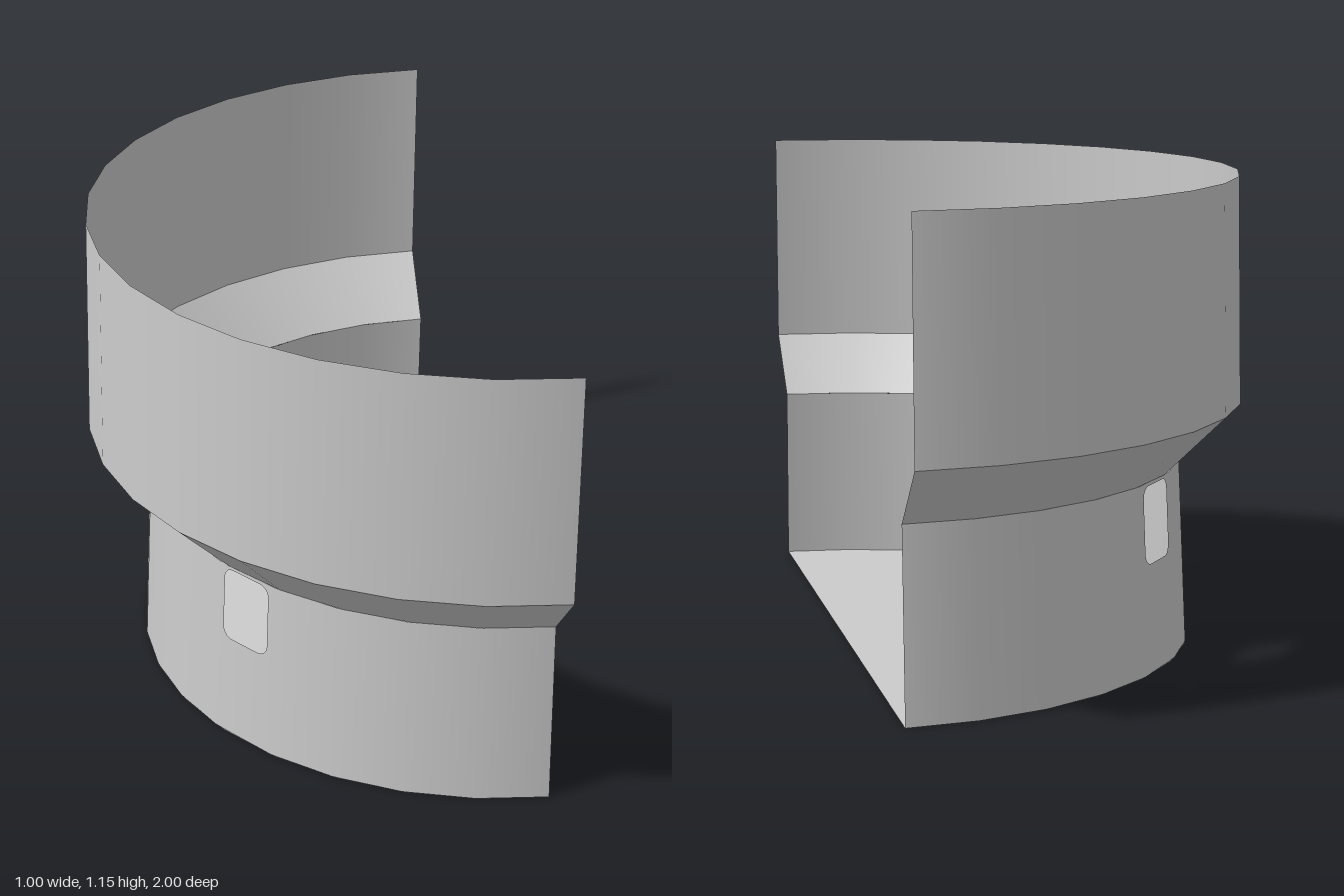
import * as THREE from 'three';
import { mergeGeometries } from 'three/addons/utils/BufferGeometryUtils.js';

const AXIS_X = 0.5; // the half-round shell is cut on the plane x = 0.5
const RAD = Math.PI / 180;
const ARC = 0.857; // mean radius of the lower wall, for flat layout

// Bends a flat sheet (x = arc length, y = height) around the axis as a cone
function bend(geometry, y0, r0, y1, r1) {
  const p = geometry.attributes.position;
  const n = geometry.attributes.normal;
  const slope = (r0 - r1) / (y1 - y0);
  const len = Math.hypot(1, slope);
  for (let i = 0; i < p.count; i++) {
    const a = p.getX(i) / ARC;
    const y = p.getY(i);
    const r = r0 + (r1 - r0) * (y - y0) / (y1 - y0);
    p.setXYZ(i, AXIS_X - r * Math.cos(a), y, r * Math.sin(a));
    n.setXYZ(i, -Math.cos(a) / len, slope / len, Math.sin(a) / len);
  }
  return geometry;
}

// Plain sheet between two angles (degrees) and two heights
function sheet(a0, a1, segments, y0, y1) {
  const u0 = a0 * RAD * ARC, u1 = a1 * RAD * ARC;
  const g = new THREE.PlaneGeometry(u1 - u0, y1 - y0, segments, 1);
  return g.translate((u0 + u1) / 2, (y0 + y1) / 2, 0);
}

// Sheet with a rounded rectangular window
function windowSheet(a0, a1, y0, y1) {
  const u0 = a0 * RAD * ARC, u1 = a1 * RAD * ARC;
  const shape = new THREE.Shape([[u0, y0], [u1, y0], [u1, y1], [u0, y1]].map(([x, y]) => new THREE.Vector2(x, y)));
  const c = (u0 + u1) / 2, h = 0.073, b = 0.262, t = 0.448, r = 0.028;
  const hole = new THREE.Path();
  hole.absarc(c - h + r, b + r, r, Math.PI, Math.PI * 1.5);
  hole.absarc(c + h - r, b + r, r, Math.PI * 1.5, Math.PI * 2);
  hole.absarc(c + h - r, t - r, r, 0, Math.PI / 2);
  hole.absarc(c - h + r, t - r, r, Math.PI / 2, Math.PI);
  hole.closePath();
  shape.holes.push(hole);
  return new THREE.ShapeGeometry(shape, 5);
}

export function createModel() {
  const group = new THREE.Group();
  const material = new THREE.MeshStandardMaterial({ color: 0xcccccc, side: THREE.DoubleSide });
  const add = (name, geometry) => {
    const mesh = new THREE.Mesh(geometry, material);
    mesh.name = name;
    group.add(mesh);
    return mesh;
  };

  // Upper band and the sloping shoulder under it
  add('upperWall', bend(sheet(-90, 90, 16, 0.602, 1.153), 0.602, 1.0, 1.153, 0.99));
  add('shoulder', bend(sheet(-90, 90, 16, 0.455, 0.602), 0.455, 0.85, 0.602, 1.0));

  // Lower wall with one window on each side
  const lower = mergeGeometries([
    sheet(-90, -44, 4, 0, 0.455),
    windowSheet(-44, -31.5, 0, 0.455),
    sheet(-31.5, 31.5, 6, 0, 0.455),
    windowSheet(31.5, 44, 0, 0.455),
    sheet(44, 90, 4, 0, 0.455),
  ]);
  add('lowerWall', bend(lower, 0, 0.87, 0.455, 0.85));

  // Half-round floor
  const floor = new THREE.CircleGeometry(0.87, 16, Math.PI / 2, Math.PI);
  floor.rotateX(-Math.PI / 2);
  add('floor', floor).position.x = AXIS_X;

  return group;
}
